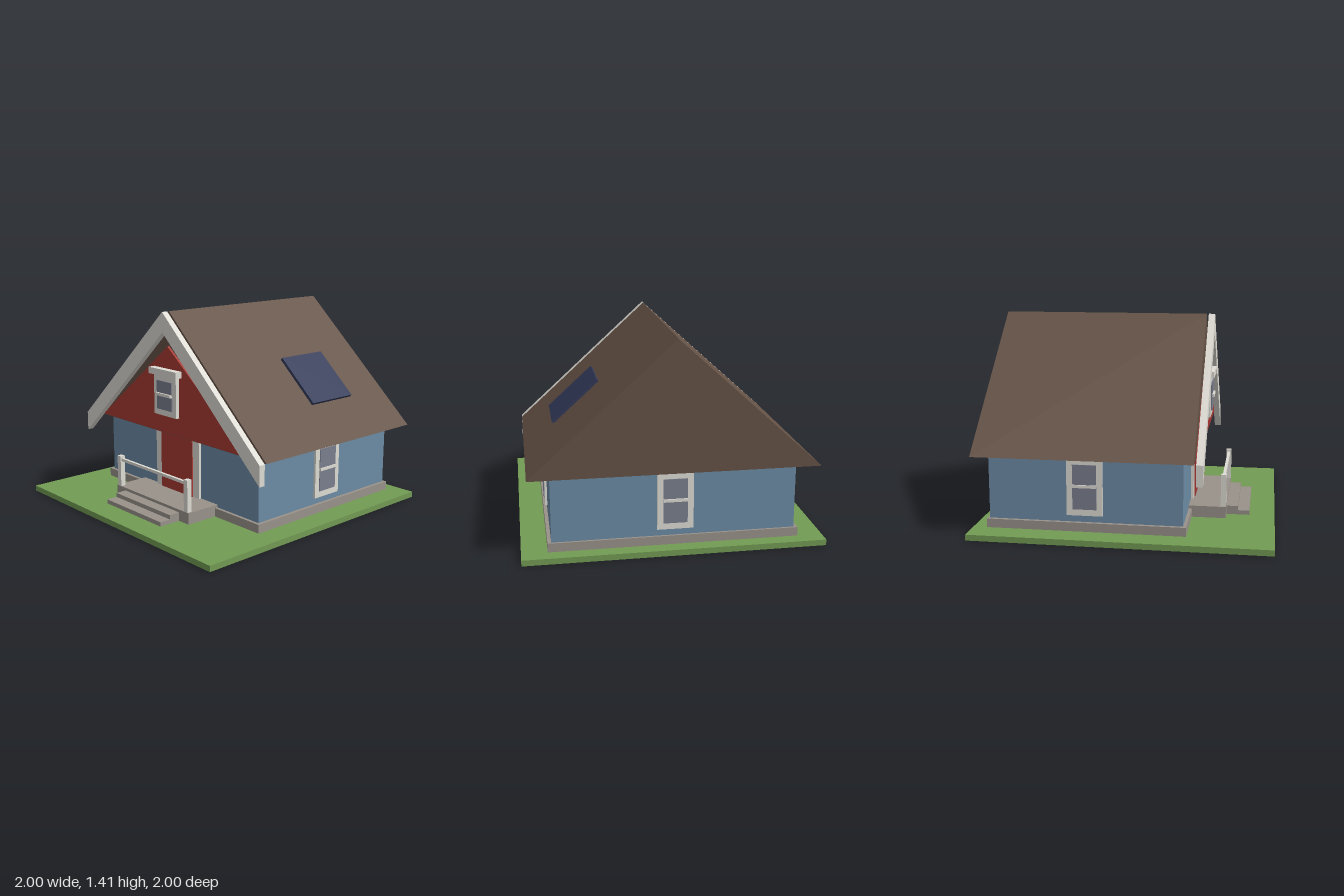
import * as THREE from 'three';

const mat = (name, color) => {
  const m = new THREE.MeshStandardMaterial({ color });
  m.name = name;
  return m;
};

export function createModel() {
  const model = new THREE.Group();
  model.name = 'house';
  const grass = mat('grass green', 0x729b53);
  const stone = mat('stone grey', 0x99928a);
  const blue = mat('wall blue', 0x6c8ba5);
  const red = mat('barn red', 0xa73832);
  const white = mat('trim white', 0xdedcd4);
  const brown = mat('roof brown', 0x655246);
  const glass = mat('glass grey', 0x7b7f8e);
  const navy = mat('panel navy', 0x323959);

  // box given by its limits on each axis
  const box = (parent, name, m, x0, x1, y0, y1, z0, z1) => {
    const mesh = new THREE.Mesh(new THREE.BoxGeometry(x1 - x0, y1 - y0, z1 - z0), m);
    mesh.position.set((x0 + x1) / 2, (y0 + y1) / 2, (z0 + z1) / 2);
    mesh.name = name;
    parent.add(mesh);
    return mesh;
  };
  // outline in the xy plane extruded between two z values
  const prism = (name, m, pts, z0, z1) => {
    const shape = new THREE.Shape(pts.map(([x, y]) => new THREE.Vector2(x, y)));
    const geo = new THREE.ExtrudeGeometry(shape, { depth: z1 - z0, bevelEnabled: false });
    const mesh = new THREE.Mesh(geo, m);
    mesh.position.z = z0;
    mesh.name = name;
    model.add(mesh);
  };

  // ground, foundation and walls
  box(model, 'lawn', grass, -1, 1, 0, 0.04, -1, 1);
  box(model, 'foundation', stone, -0.83, 0.83, 0.04, 0.1, -0.905, 0.43);
  box(model, 'walls', blue, -0.805, 0.805, 0.1, 0.552, -0.89, 0.408);

  // roof, red gable and gable trim
  prism('roof', brown, [[-0.95, 0.55], [0.95, 0.55], [0, 1.415]], -0.97, 0.485);
  prism('gable', red, [[-0.79, 0.56], [0.79, 0.56], [0, 1.175]], 0.484, 0.503);
  prism('gableTrim', white, [
    [-0.95, 0.41], [0, 1.275], [0.95, 0.41], [0.95, 0.55], [0, 1.415], [-0.95, 0.55],
  ], 0.5, 0.545);

  // door with side trim
  box(model, 'door', red, -0.17, 0.17, 0.12, 0.551, 0.4, 0.435);
  for (const s of [-1, 1]) {
    const jamb = box(model, 'doorTrim', white, -0.0325, 0.0325, 0.12, 0.551, 0.4, 0.427);
    jamb.position.x = s * 0.2025;
  }

  // porch, steps and railing
  box(model, 'porch', stone, -0.405, 0.405, 0.04, 0.12, 0.4, 0.665);
  box(model, 'upperStep', stone, -0.305, 0.305, 0.04, 0.1, 0.66, 0.745);
  box(model, 'lowerStep', stone, -0.305, 0.305, 0.04, 0.07, 0.74, 0.825);
  for (const s of [-1, 1]) {
    const post = box(model, 'porchPost', white, -0.019, 0.019, 0.12, 0.345, 0.628, 0.665);
    post.position.x = s * 0.375;
  }
  box(model, 'porchRail', white, -0.36, 0.36, 0.308, 0.328, 0.636, 0.656);

  // window facing +z, base of the frame at y = 0, back at z = 0
  const addWindow = (name, height, headHeight, x, y, z, turn) => {
    const w = new THREE.Group();
    w.name = name;
    box(w, 'windowFrame', white, -0.12, 0.12, 0, height, -0.005, 0.016);
    box(w, 'windowGlass', glass, -0.08, 0.08, 0.043, height - 0.04, 0.014, 0.021);
    box(w, 'windowBar', white, -0.08, 0.08, height / 2 - 0.002, height / 2 + 0.018, 0.016, 0.029);
    box(w, 'windowHead', white, -0.15, 0.15, height, height + headHeight, -0.005, 0.03);
    w.position.set(x, y, z);
    w.rotation.y = turn;
    model.add(w);
    return w;
  };
  const attic = addWindow('gableWindow', 0.285, 0.045, 0, 0.69, 0.503, 0);
  attic.scale.z = 1.7;
  addWindow('leftWindow', 0.385, 0.035, 0.805, 0.147, -0.24, Math.PI / 2);
  addWindow('rightWindow', 0.385, 0.035, -0.805, 0.147, -0.24, -Math.PI / 2);
  addWindow('backWindow', 0.385, 0.035, 0, 0.147, -0.89, Math.PI);

  // raised solar panel, parallel to the roof slope
  const panel = box(model, 'solarPanel', navy, -0.2025, 0.2025, -0.01, 0.01, -0.2, 0.2);
  panel.position.set(0.608, 0.936, -0.345);
  panel.rotation.z = -Math.atan2(0.865, 0.95);

  return model;
}
